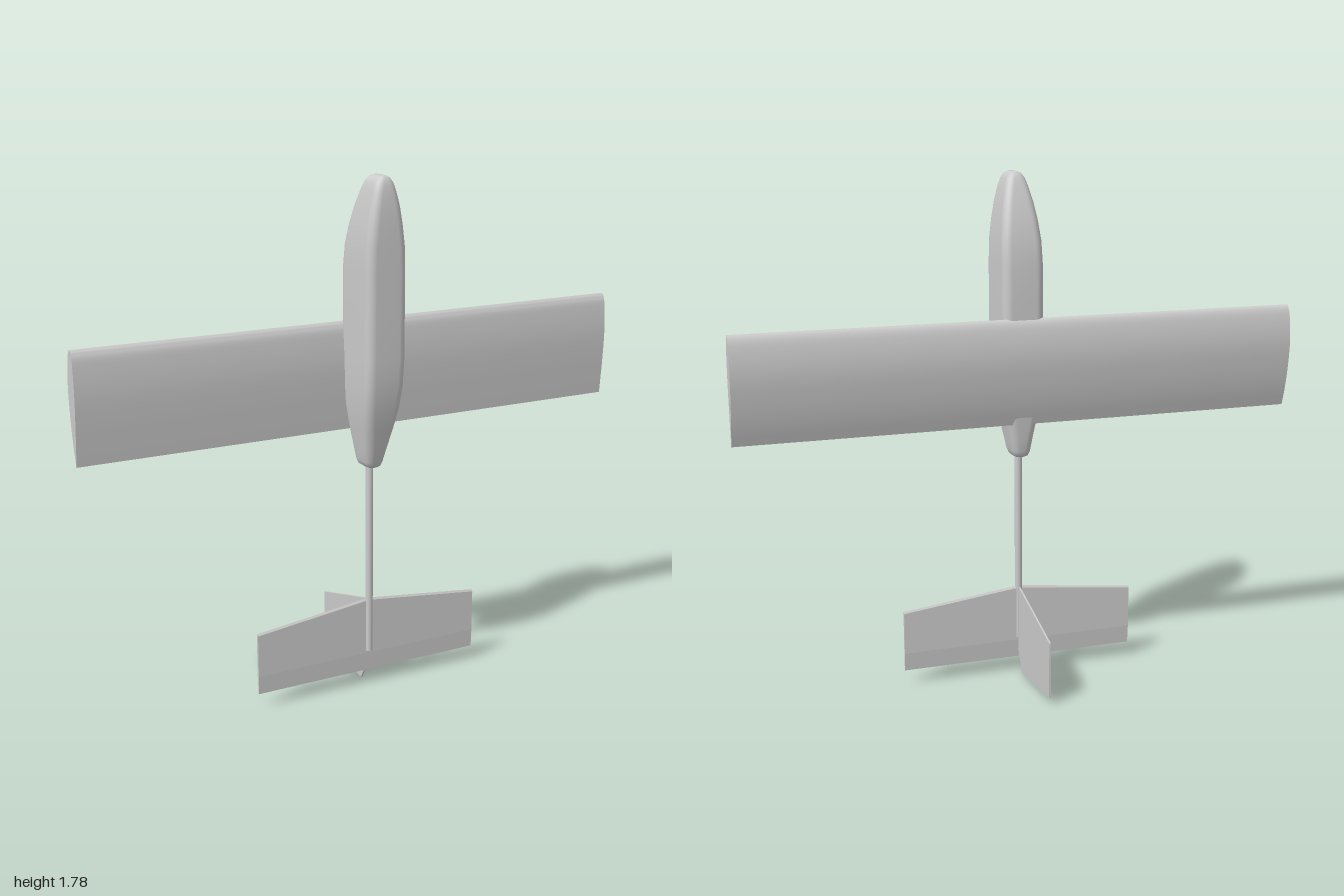
import * as THREE from 'three';
import { toCreasedNormals } from 'three/addons/utils/BufferGeometryUtils.js';

const material = new THREE.MeshStandardMaterial({ color: 0xcccccc });

function addPart(group, name, geometry) {
  const mesh = new THREE.Mesh(geometry, material);
  mesh.name = name;
  group.add(mesh);
  return mesh;
}

// Extrudes a (z, y) outline along x, centred on x = 0.
function extrudeAcross(points, span, steps = 1) {
  const shape = new THREE.Shape(points.map(([z, y]) => new THREE.Vector2(z, y)));
  const geo = new THREE.ExtrudeGeometry(shape, { depth: span, steps, bevelEnabled: false });
  return geo.translate(0, 0, -span / 2).rotateY(-Math.PI / 2);
}

// Rounded-rectangle ring of (x, z) points.
function roundedRing(halfWidth, back, front, radius) {
  const ring = [], perCorner = 6;
  const halfDepth = (front - back) / 2, mid = (front + back) / 2;
  const r = Math.min(radius, halfWidth, halfDepth);
  const signs = [[1, 1], [-1, 1], [-1, -1], [1, -1]];
  signs.forEach(([sx, sz], corner) => {
    for (let i = 0; i <= perCorner; i++) {
      const a = (corner + i / perCorner) * Math.PI / 2;
      ring.push([sx * (halfWidth - r) + r * Math.cos(a), mid + sz * (halfDepth - r) + r * Math.sin(a)]);
    }
  });
  return ring;
}

// Lofts sections [y, halfWidth, back z, front z, corner radius] from bottom to top.
function loft(sections) {
  const position = [], index = [];
  const rings = sections.map(([, w, b, f, r]) => roundedRing(w, b, f, r));
  const n = rings[0].length;
  rings.forEach((ring, s) => ring.forEach(([x, z]) => position.push(x, sections[s][0], z)));
  for (let s = 0; s < rings.length - 1; s++) {
    for (let i = 0; i < n; i++) {
      const a = s * n + i, b = s * n + (i + 1) % n;
      index.push(a, a + n, b, b, a + n, b + n);
    }
  }
  // End caps
  const last = sections.length - 1;
  [0, last].forEach((s) => {
    const [y, , b, f] = sections[s];
    const centre = position.length / 3;
    position.push(0, y, (b + f) / 2);
    for (let i = 0; i < n; i++) {
      const p = s * n + i, q = s * n + (i + 1) % n;
      if (s === 0) index.push(centre, p, q);
      else index.push(centre, q, p);
    }
  });
  const geo = new THREE.BufferGeometry();
  geo.setAttribute('position', new THREE.Float32BufferAttribute(position, 3));
  geo.setIndex(index);
  geo.computeVertexNormals();
  return geo;
}

export function createModel() {
  const model = new THREE.Group();
  model.name = 'airplane';

  // Fuselage pod, nose up
  addPart(model, 'fuselage', loft([
    [0.808, 0.018, 0.072, 0.142, 0.015],
    [0.813, 0.027, 0.063, 0.150, 0.02],
    [0.83, 0.034, 0.057, 0.157, 0.025],
    [0.87, 0.041, 0.051, 0.169, 0.028],
    [0.95, 0.055, 0.042, 0.193, 0.03],
    [1.02, 0.065, 0.037, 0.212, 0.03],
    [1.1, 0.071, 0.034, 0.226, 0.03],
    [1.19, 0.073, 0.032, 0.232, 0.03],
    [1.35, 0.073, 0.032, 0.232, 0.03],
    [1.48, 0.073, 0.034, 0.232, 0.03],
    [1.56, 0.071, 0.044, 0.232, 0.03],
    [1.63, 0.063, 0.060, 0.231, 0.03],
    [1.69, 0.053, 0.080, 0.228, 0.028],
    [1.74, 0.041, 0.100, 0.222, 0.026],
    [1.765, 0.033, 0.112, 0.216, 0.024],
    [1.78, 0.023, 0.122, 0.209, 0.02],
    [1.787, 0.011, 0.134, 0.198, 0.011],
  ]));

  // Wing: constant aerofoil, leading edge up
  const aerofoil = new THREE.CatmullRomCurve3([
    [0.049, 0.93], [0.029, 1.0], [0.014, 1.08], [0.006, 1.17], [0.013, 1.245],
    [0.026, 1.288], [0.04, 1.3], [0.054, 1.283], [0.062, 1.235], [0.066, 1.16],
    [0.063, 1.08], [0.057, 1.0], [0.051, 0.93],
  ].map(([z, y]) => new THREE.Vector3(z, y, 0))).getPoints(48).map((p) => [p.x, p.y]);
  addPart(model, 'wing', toCreasedNormals(extrudeAcross(aerofoil, 2), 0.6));

  // Tail boom
  const boom = addPart(model, 'tailBoom', new THREE.CylinderGeometry(0.013, 0.013, 0.7, 24));
  boom.position.set(0, 0.48, 0.107);

  // Stabiliser: thin plate with tapered trailing edge, chord narrowing to the tips
  const tail = extrudeAcross([
    [0.104, 0.055], [0.099, 0.12], [0.099, 0.318], [0.104, 0.325],
    [0.109, 0.318], [0.109, 0.12], [0.106, 0.055],
  ], 0.85, 2);
  const p = tail.attributes.position;
  for (let i = 0; i < p.count; i++) {
    if (p.getY(i) > 0.2) p.setY(i, p.getY(i) - 0.05 * Math.abs(p.getX(i)) / 0.425);
  }
  tail.computeVertexNormals();
  addPart(model, 'stabiliser', tail);

  // Fin
  addPart(model, 'fin', extrudeAcross([
    [0.11, 0.325], [-0.23, 0.228], [-0.23, 0.03], [0.055, 0.004], [0.107, 0.09],
  ], 0.006));

  // Sit on the ground
  model.children.forEach((part) => { part.position.y -= 0.004; });
  return model;
}
